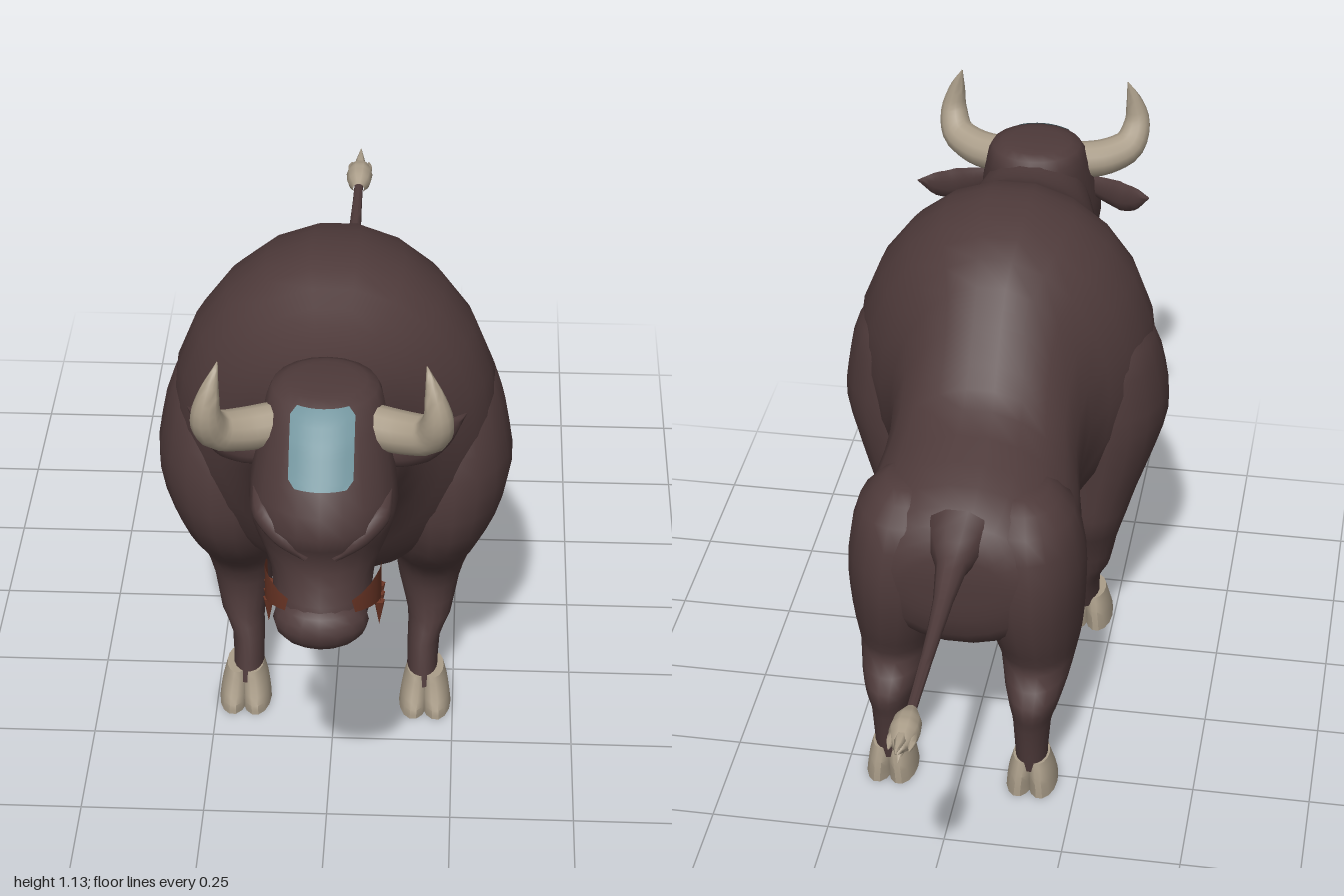
import * as THREE from 'three';
import { toCreasedNormals } from 'three/addons/utils/BufferGeometryUtils.js';

const mat = (name, color, side = THREE.FrontSide) => {
  const m = new THREE.MeshStandardMaterial({ color, side });
  m.name = name;
  return m;
};

// Catmull-Rom blend of number rows, t in 0..1
function rowAt(rows, t) {
  const f = Math.min(t, 1) * (rows.length - 1);
  const i = Math.min(Math.floor(f), rows.length - 2), w = f - i;
  const at = k => rows[Math.max(0, Math.min(rows.length - 1, k))];
  const [a, b, c, d] = [at(i - 1), at(i), at(i + 1), at(i + 2)];
  return b.map((_, k) => b[k] + 0.5 * w * (c[k] - a[k]
    + w * (2 * a[k] - 5 * b[k] + 4 * c[k] - d[k] + w * (3 * (b[k] - c[k]) + d[k] - a[k]))));
}

// Capped skin over elliptical rows [t, centreX, radiusX, low, high].
// Axis 'z': rows run back to front. Axis 'y': rows run top to bottom.
function loft(rows, axis, steps = 2, n = 18, crease = 1.1) {
  const pos = [], idx = [], rings = (rows.length - 1) * steps + 1;
  const put = (x, other, t) => (axis === 'z' ? pos.push(x, other, t) : pos.push(x, t, other));
  for (let i = 0; i < rings; i++) {
    const [t, xc, rx, lo, hi] = rowAt(rows, i / (rings - 1));
    for (let j = 0; j < n; j++) {
      const a = (j / n) * Math.PI * 2;
      put(xc + rx * Math.cos(a), (lo + hi) / 2 + ((hi - lo) / 2) * Math.sin(a), t);
    }
  }
  for (const r of [rows[0], rows[rows.length - 1]]) put(r[1], (r[3] + r[4]) / 2, r[0]);
  const first = rings * n, base = (rings - 1) * n;
  for (let j = 0; j < n; j++) {
    const k = (j + 1) % n;
    for (let i = 0; i < rings - 1; i++) {
      const a = i * n + j, b = i * n + k;
      idx.push(a, b, a + n, b, b + n, a + n);
    }
    idx.push(first, k, j, first + 1, base + j, base + k);
  }
  const g = new THREE.BufferGeometry();
  g.setAttribute('position', new THREE.Float32BufferAttribute(pos, 3));
  g.setIndex(idx);
  return toCreasedNormals(g, crease);
}

// Tube with changing radius; flat squeezes it sideways
function taperTube(points, radii, flat = 1, seg = 14, n = 10) {
  const curve = new THREE.CatmullRomCurve3(points.map(p => new THREE.Vector3(...p)));
  const g = new THREE.TubeGeometry(curve, seg, 1, n);
  const p = g.attributes.position, v = new THREE.Vector3();
  for (let i = 0; i < p.count; i++) {
    const u = Math.floor(i / (n + 1)) / seg, c = curve.getPointAt(u);
    const f = u * (radii.length - 1), k = Math.min(Math.floor(f), radii.length - 2);
    const r = THREE.MathUtils.lerp(radii[k], radii[k + 1], f - k);
    v.fromBufferAttribute(p, i).sub(c).multiplyScalar(r);
    p.setXYZ(i, c.x + v.x * flat, c.y + v.y, c.z + v.z * flat);
  }
  return toCreasedNormals(g, 1.1);
}

// Flat grid moved onto a surface; fn(u, v) with u, v in -1..1
function patch(fn, cols, rows) {
  const g = new THREE.PlaneGeometry(2, 2, cols, rows), p = g.attributes.position;
  for (let i = 0; i < p.count; i++) p.setXYZ(i, ...fn(p.getX(i), p.getY(i)));
  g.computeVertexNormals();
  return g;
}

export function createModel() {
  const hide = mat('brown hide', 0x4e3a3a);
  const horn = mat('pale horn', 0xaa9d89);
  const blue = mat('blue forehead', 0x6f929b, THREE.DoubleSide);
  const rust = mat('rust whiskers', 0x6c3626, THREE.DoubleSide);
  const model = new THREE.Group();
  model.name = 'bull';
  const add = (name, geo, material, parent = model) => {
    const m = new THREE.Mesh(geo, material);
    m.name = name;
    parent.add(m);
    return m;
  };

  // Torso and neck: [z, halfWidth, bottom, top]
  const torso = [
    [-0.36, 0.10, 0.50, 0.62], [-0.345, 0.16, 0.42, 0.66], [-0.30, 0.21, 0.37, 0.71],
    [-0.20, 0.235, 0.35, 0.755], [-0.07, 0.222, 0.355, 0.80], [0, 0.208, 0.37, 0.87],
    [0.10, 0.22, 0.37, 1.0], [0.20, 0.29, 0.36, 1.065], [0.32, 0.33, 0.345, 1.093],
    [0.42, 0.31, 0.37, 1.083], [0.50, 0.255, 0.43, 1.042], [0.58, 0.195, 0.55, 1.012],
    [0.66, 0.155, 0.63, 1.008], [0.74, 0.13, 0.65, 1.012], [0.82, 0.09, 0.72, 0.99],
  ].map(([z, w, lo, hi]) => [z, 0, w, lo, hi]);
  add('torso', loft(torso, 'z', 2, 22), hide);

  // Head from poll to chin: [y, 0, halfWidth, back, front]
  const headRows = [
    [1.028, 0, 0.06, 0.68, 0.79], [1.015, 0, 0.10, 0.64, 0.835], [0.97, 0, 0.115, 0.62, 0.885],
    [0.90, 0, 0.13, 0.63, 0.938], [0.82, 0, 0.14, 0.66, 0.975], [0.76, 0, 0.127, 0.69, 0.95],
    [0.70, 0, 0.10, 0.72, 0.958], [0.64, 0, 0.092, 0.77, 0.985], [0.59, 0, 0.082, 0.80, 0.975],
    [0.555, 0, 0.062, 0.82, 0.93], [0.54, 0, 0.035, 0.84, 0.90],
  ];
  add('head', loft(headRows, 'y', 2, 20), hide);
  const nose = add('nose', new THREE.SphereGeometry(1, 16, 10), hide);
  nose.scale.set(0.09, 0.055, 0.07);
  nose.position.set(0, 0.62, 0.93);

  // Forehead patch laid over the head surface
  const headFront = (x, y) => {
    let k = 0;
    while (k < headRows.length - 2 && headRows[k + 1][0] > y) k++;
    const a = headRows[k], b = headRows[k + 1], w = (a[0] - y) / (a[0] - b[0]);
    const [, , rx, lo, hi] = a.map((q, i) => q + (b[i] - q) * w);
    return (lo + hi) / 2 + ((hi - lo) / 2) * Math.sqrt(Math.max(0, 1 - (x / rx) ** 2));
  };
  add('foreheadPatch', patch((u, v) => {
    const x = u * 0.06 * (Math.abs(v) > 0.85 ? 0.8 : 1), y = 0.962 + v * 0.056;
    return [x, y, headFront(x, y) + 0.008];
  }, 8, 10), blue);

  // Whisker outlines: [z, upperY, z, lowerY] from nose to jaw
  const whisker = [[0.965, 0.685, 0.96, 0.655], [0.89, 0.70, 0.90, 0.635],
    [0.80, 0.66, 0.845, 0.61], [0.783, 0.60, 0.82, 0.57]];

  // Legs: [y, centreX, halfWidth, back, front]
  const legs = {
    front: {
      rows: [[0.87, 0.21, 0.05, 0.24, 0.38], [0.79, 0.22, 0.105, 0.18, 0.45],
        [0.69, 0.22, 0.132, 0.16, 0.50], [0.60, 0.22, 0.14, 0.155, 0.515],
        [0.50, 0.218, 0.116, 0.16, 0.505], [0.41, 0.205, 0.095, 0.165, 0.45],
        [0.35, 0.20, 0.08, 0.172, 0.385], [0.28, 0.195, 0.064, 0.205, 0.352],
        [0.20, 0.197, 0.046, 0.235, 0.358], [0.15, 0.186, 0.034, 0.255, 0.375],
        [0.06, 0.184, 0.032, 0.298, 0.398]],
      hoof: [0.191, 0.29, 0.43],
    },
    hind: {
      rows: [[0.71, 0.12, 0.05, -0.26, -0.13], [0.66, 0.125, 0.10, -0.33, -0.07],
        [0.55, 0.135, 0.115, -0.358, -0.035], [0.45, 0.14, 0.11, -0.352, -0.018],
        [0.36, 0.148, 0.095, -0.325, -0.022], [0.30, 0.152, 0.08, -0.305, -0.05],
        [0.25, 0.154, 0.066, -0.355, -0.085], [0.207, 0.154, 0.052, -0.352, -0.14],
        [0.175, 0.153, 0.04, -0.342, -0.215], [0.06, 0.153, 0.033, -0.322, -0.235]],
      hoof: [0.153, -0.335, -0.198],
    },
  };

  for (const [side, s] of [['left', 1], ['right', -1]]) {
    const at = pts => pts.map(([x, y, z]) => [x * s, y, z]);

    for (const [end, { rows, hoof: [hx, z0, z1] }] of Object.entries(legs)) {
      const leg = new THREE.Group();
      leg.name = `${side} ${end} leg`;
      model.add(leg);
      add('limb', loft(rows.map(([y, x, ...r]) => [y, x * s, ...r]), 'y'), hide, leg);
      // Cloven hoof: two toes
      for (const t of [-1, 1]) {
        const toe = [[0.085, 0.016, 0.023, 0.01, -0.034], [0.05, 0.020, 0.028, 0.002, -0.02],
          [0.02, 0.023, 0.03, 0, -0.002], [0, 0.024, 0.031, 0, 0]]
          .map(([y, dx, rx, b, f]) => [y, hx * s + t * dx, rx, z0 + b, z1 + f]);
        add('hoofToe', loft(toe, 'y', 2, 14, 0.8), horn, leg);
      }
    }

    add(`${side} horn`, taperTube(at([[0.09, 0.955, 0.785], [0.15, 0.957, 0.81], [0.198, 0.975, 0.842],
      [0.212, 1.02, 0.868], [0.205, 1.07, 0.868], [0.19, 1.127, 0.853]]),
    [0.042, 0.041, 0.038, 0.031, 0.019, 0.001], 1, 18, 12), horn);

    add(`${side} ear`, taperTube(at([[0.10, 0.895, 0.80], [0.16, 0.89, 0.77], [0.21, 0.895, 0.735],
      [0.265, 0.925, 0.685]]), [0.018, 0.03, 0.037, 0.03, 0.001], 0.4), hide);

    add(`${side} brow`, taperTube(at([[0.025, 0.765, 0.945], [0.065, 0.80, 0.937], [0.105, 0.83, 0.90],
      [0.125, 0.86, 0.845]]), [0.008, 0.02, 0.022, 0.006]), hide);

    add(`${side} whiskers`, patch((u, v) => {
      const [zt, yt, zb, yb] = rowAt(whisker, (u + 1) / 2), w = (v + 1) / 2;
      const z = zb + (zt - zb) * w, y = yb + (yt - yb) * w;
      return [s * 0.109 * Math.sqrt(1 - Math.max(0, (z - 0.86) / 0.125) ** 2), y, z];
    }, 10, 3), rust);
    // Hanging whisker tips
    for (const [z, y] of [[0.79, 0.575], [0.803, 0.563], [0.818, 0.555]]) {
      const tip = add(`${side} whisker tip`, new THREE.ConeGeometry(0.011, 0.055, 5), rust);
      tip.position.set(s * 0.106, y, z);
      tip.rotation.x = Math.PI;
    }
  }

  // Tail with pale tuft
  add('tail', taperTube([[0, 0.645, -0.30], [0, 0.62, -0.40], [0, 0.603, -0.52], [0, 0.597, -0.70],
    [0, 0.596, -0.86]], [0.075, 0.033, 0.021, 0.016, 0.013, 0.011, 0.01], 1, 18), hide);
  add('tailTuft', taperTube([[0, 0.597, -0.835], [0, 0.598, -0.90], [0, 0.60, -0.975]],
    [0.013, 0.028, 0.031, 0.022, 0.002]), horn);
  for (const [x, y, z] of [[0, 0.618, -1], [0.02, 0.60, -0.965], [-0.02, 0.60, -0.965], [0, 0.578, -0.975]]) {
    add('tuftStrand', taperTube([[x * 0.6, 0.6 + (y - 0.6) * 0.5, -0.90],
      [x, 0.6 + (y - 0.6) * 0.6, -0.94], [x, y, z]], [0.014, 0.011, 0.001], 1, 6, 6), horn);
  }
  return model;
}
